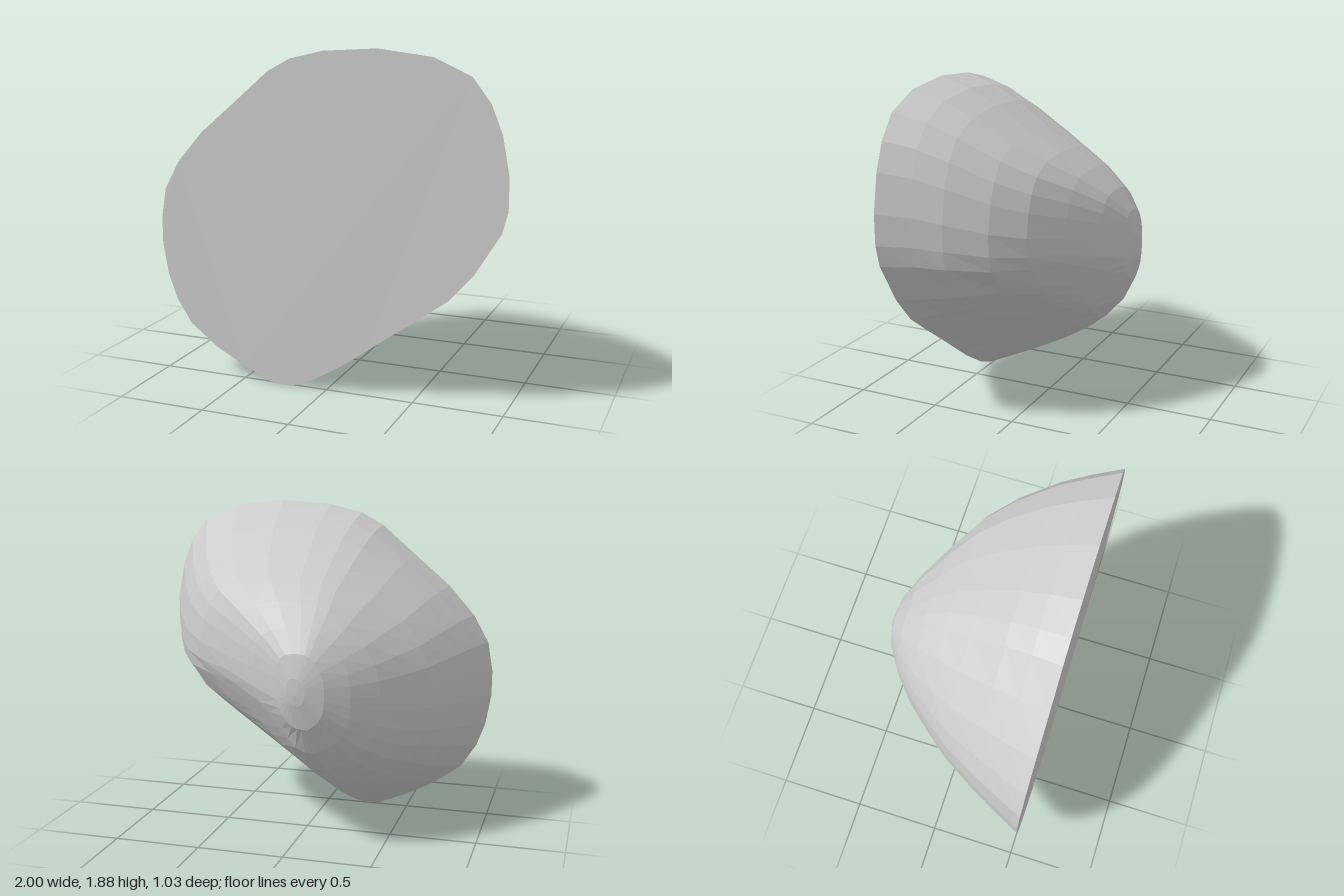
import * as THREE from 'three';

// outline of the flat cut face, counter-clockwise from the right
const OUTLINE = [
  [1, 1.1], [1, 1.27], [0.96, 1.48], [0.9, 1.63], [0.8, 1.76], [0.6, 1.85], [0.3, 1.885],
  [0, 1.865], [-0.19, 1.82], [-0.32, 1.75], [-0.52, 1.578], [-0.73, 1.4], [-0.88, 1.23],
  [-0.97, 1.07], [-1, 0.9], [-1, 0.75], [-0.97, 0.57], [-0.92, 0.43], [-0.83, 0.29],
  [-0.67, 0.17], [-0.5, 0.08], [-0.32, 0.002], [-0.2, 0.002], [-0.08, 0.05], [0.1, 0.16],
  [0.25, 0.27], [0.4, 0.38], [0.55, 0.488], [0.7, 0.6], [0.83, 0.75], [0.97, 0.98],
];
// cross-sections from the cut face to the back: z, left, right, bottom, top
const SECTIONS = [
  [0.515, -1, 1, 0, 1.885],
  [0.35, -0.92, 0.925, 0.065, 1.825],
  [0.2, -0.84, 0.86, 0.13, 1.74],
  [0, -0.72, 0.74, 0.24, 1.6],
  [-0.15, -0.6, 0.6, 0.335, 1.495],
  [-0.28, -0.49, 0.4, 0.445, 1.39],
  [-0.4, -0.355, 0.2, 0.58, 1.27],
  [-0.48, -0.23, 0.04, 0.735, 1.15],
  [-0.51, -0.13, -0.03, 0.87, 1.02],
  [-0.515, -0.08, -0.08, 0.93, 0.93],
];
// worn flats on the lower side: normal and distance from (0, 0.94, 0)
const FLATS = [
  [0.53, -0.74, -0.41, 0.42],
  [0.55, -0.45, -0.71, 0.41],
];

// fits the outline into one section, rounder towards the back,
// and pulls it softly inside the flats
function ring(points, [z, x0, x1, y0, y1]) {
  const cx = (x0 + x1) / 2, cy = (y0 + y1) / 2;
  const depth = (0.515 - z) / 1.03;
  return points.map((p) => {
    const py = p.y / 0.9425 - 1;
    const fill = Math.max(1, 1 / Math.hypot(p.x, py));
    const grow = 1 + (fill - 1) * depth;
    const dx = p.x * grow * (x1 - x0) / 2;
    const dy = py * grow * (y1 - y0) / 2;
    let sum = 1;
    // the cut face itself keeps its exact outline
    if (depth > 0) {
      for (const [nx, ny, nz, d] of FLATS) {
        const along = nx * dx + ny * dy;
        const room = d - nx * cx - ny * (cy - 0.94) - nz * z;
        if (along > 0) sum += Math.pow(along / room, 24);
      }
    }
    const t = Math.pow(sum, -1 / 24);
    return [cx + dx * t, cy + dy * t, z];
  });
}

export function createModel() {
  const group = new THREE.Group();
  group.name = 'halfBoulder';
  const material = new THREE.MeshStandardMaterial({ color: 0xcccccc, flatShading: true });

  const points = OUTLINE.map(([x, y]) => new THREE.Vector2(x, y));
  const n = points.length;

  // rounded back
  const rings = SECTIONS.map((s) => ring(points, s));
  const index = [];
  for (let i = 0; i < rings.length - 1; i++) {
    for (let j = 0; j < n; j++) {
      const a = i * n + j, b = i * n + (j + 1) % n;
      index.push(a, a + n, b);
      if (i < rings.length - 2) index.push(b, a + n, b + n);
    }
  }
  const domeGeometry = new THREE.BufferGeometry();
  domeGeometry.setAttribute('position', new THREE.Float32BufferAttribute(rings.flat(2), 3));
  domeGeometry.setIndex(index);
  domeGeometry.computeVertexNormals();
  const dome = new THREE.Mesh(domeGeometry, material);
  dome.name = 'roundedBack';
  group.add(dome);

  // flat cut face at the front
  const face = new THREE.Mesh(new THREE.ShapeGeometry(new THREE.Shape(points)), material);
  face.position.z = SECTIONS[0][0];
  face.name = 'flatFront';
  group.add(face);

  return group;
}
